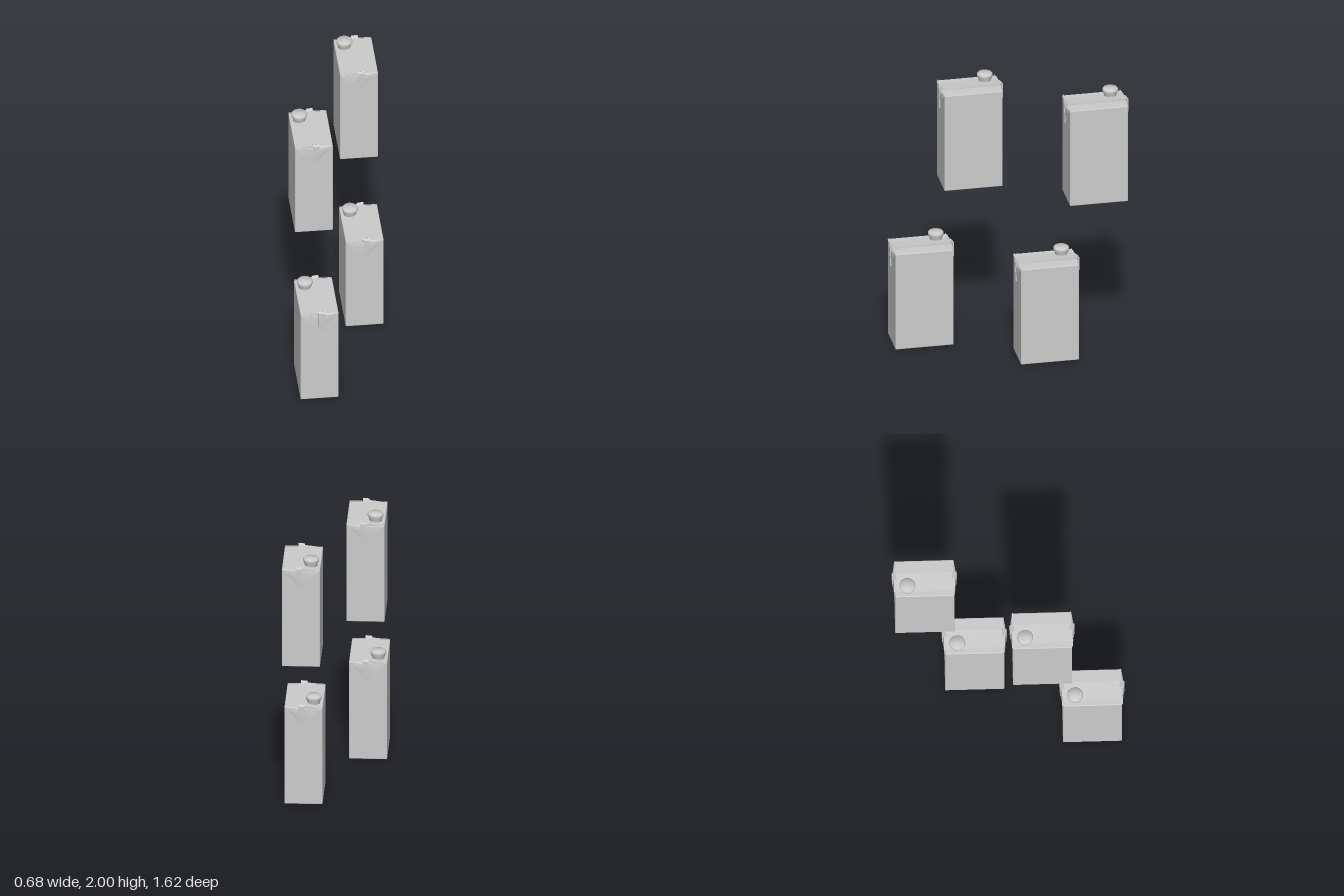
import * as THREE from 'three';
import { toCreasedNormals } from 'three/addons/utils/BufferGeometryUtils.js';
import { RoundedBoxGeometry } from 'three/addons/geometries/RoundedBoxGeometry.js';

const grey = new THREE.MeshStandardMaterial({ color: 0xcccccc, side: THREE.DoubleSide });
const W = 0.268, H = 0.738, D = 0.415;

function part(name, geometry) {
  const mesh = new THREE.Mesh(geometry, grey);
  mesh.name = name;
  return mesh;
}

// Solid skinned through closed rings of points, one ring after another
function skin(rings, flip) {
  const n = rings[0].length, index = [];
  const tri = (a, b, c) => index.push(...(flip ? [a, c, b] : [a, b, c]));
  for (let r = 0; r < rings.length - 1; r++) {
    for (let i = 0; i < n; i++) {
      const a = r * n + i, b = r * n + (i + 1) % n;
      tri(a, a + n, b);
      tri(b, a + n, b + n);
    }
  }
  const last = (rings.length - 1) * n;
  for (let i = 1; i < n - 1; i++) {
    tri(0, i, i + 1);
    tri(last, last + i + 1, last + i);
  }
  const g = new THREE.BufferGeometry();
  g.setAttribute('position', new THREE.Float32BufferAttribute(rings.flat(2), 3));
  g.setIndex(index);
  return toCreasedNormals(g, 0.6);
}

// Triangular ear folded down over one end; s is the end's side in z
function earGeometry(s) {
  // y, left x, right x, outer z at the edges, outer z in the middle, inner z
  const rows = [
    [0.742, -0.132, 0.132, 0.206, 0.209, 0.200],
    [0.732, -0.128, 0.130, 0.209, 0.220, 0.204],
    [0.700, -0.098, 0.098, 0.213, 0.224, 0.208],
    [0.650, -0.052, 0.045, 0.217, 0.225, 0.213],
    [0.610, -0.016, 0.036, 0.220, 0.224, 0.216],
  ];
  return skin(rows.map(([y, l, r, ze, zm, zi]) => [
    [l, y, s * ze], [l * 0.3 + r * 0.7, y, s * zm], [r, y, s * ze], [r, y, s * zi], [l, y, s * zi],
  ]), s < 0);
}

// Narrow seam strip that runs on down over the ear
function stripGeometry(s) {
  const rows = [[0.754, 0.204], [0.762, 0.216], [0.752, 0.228], [0.700, 0.230], [0.610, 0.226]];
  return skin(rows.map(([y, z]) => [
    [-0.008, y - 0.003, s * (z - 0.003)], [0.038, y, s * z],
    [0.038, y - 0.004, s * (z - 0.010)], [-0.008, y - 0.004, s * (z - 0.010)],
  ]), s < 0);
}

// Top seam: a low wedge with its step towards +x, sagging a little at the front
function seamGeometry() {
  const rows = [[-0.213, 0.754], [-0.05, 0.753], [0.08, 0.749], [0.213, 0.752]];
  return skin(rows.map(([z, y]) => [
    [-0.125, H - 0.003, z], [-0.02, (y + H) / 2, z], [0.038, y, z], [0.040, H - 0.003, z],
  ]), true);
}

function capGeometry() {
  const profile = [[0, 0], [0.044, 0], [0.046, 0.02], [0.056, 0.045], [0.056, 0.055], [0.049, 0.064], [0, 0.066]];
  return toCreasedNormals(
    new THREE.LatheGeometry(profile.map(([r, y]) => new THREE.Vector2(r, y)), 18), 0.9);
}

export function createModel() {
  const model = new THREE.Group();
  model.name = 'cartons';

  const geo = {
    body: new RoundedBoxGeometry(W, H, D, 2, 0.006),
    seam: seamGeometry(),
    cap: capGeometry(),
    ears: [1, -1].map(earGeometry),
    strips: [1, -1].map(stripGeometry),
  };

  function carton(x, y, z) {
    const group = new THREE.Group();
    group.name = 'carton';
    const body = part('body', geo.body);
    body.position.y = H / 2;
    const cap = part('screwCap', geo.cap);
    cap.position.set(-0.067, 0.734, -0.12);
    group.add(body, part('topSeam', geo.seam), cap);
    ['front', 'back'].forEach((end, i) => {
      group.add(part(end + 'Ear', geo.ears[i]), part(end + 'SeamStrip', geo.strips[i]));
    });
    group.position.set(x, y, z);
    return group;
  }

  // Left and right columns, each with a lower and an upper carton
  model.add(
    carton(-0.205, 0, 0.583),
    carton(-0.205, 1.2, 0.233),
    carton(0.205, 0, -0.23),
    carton(0.205, 1.2, -0.58),
  );
  return model;
}
